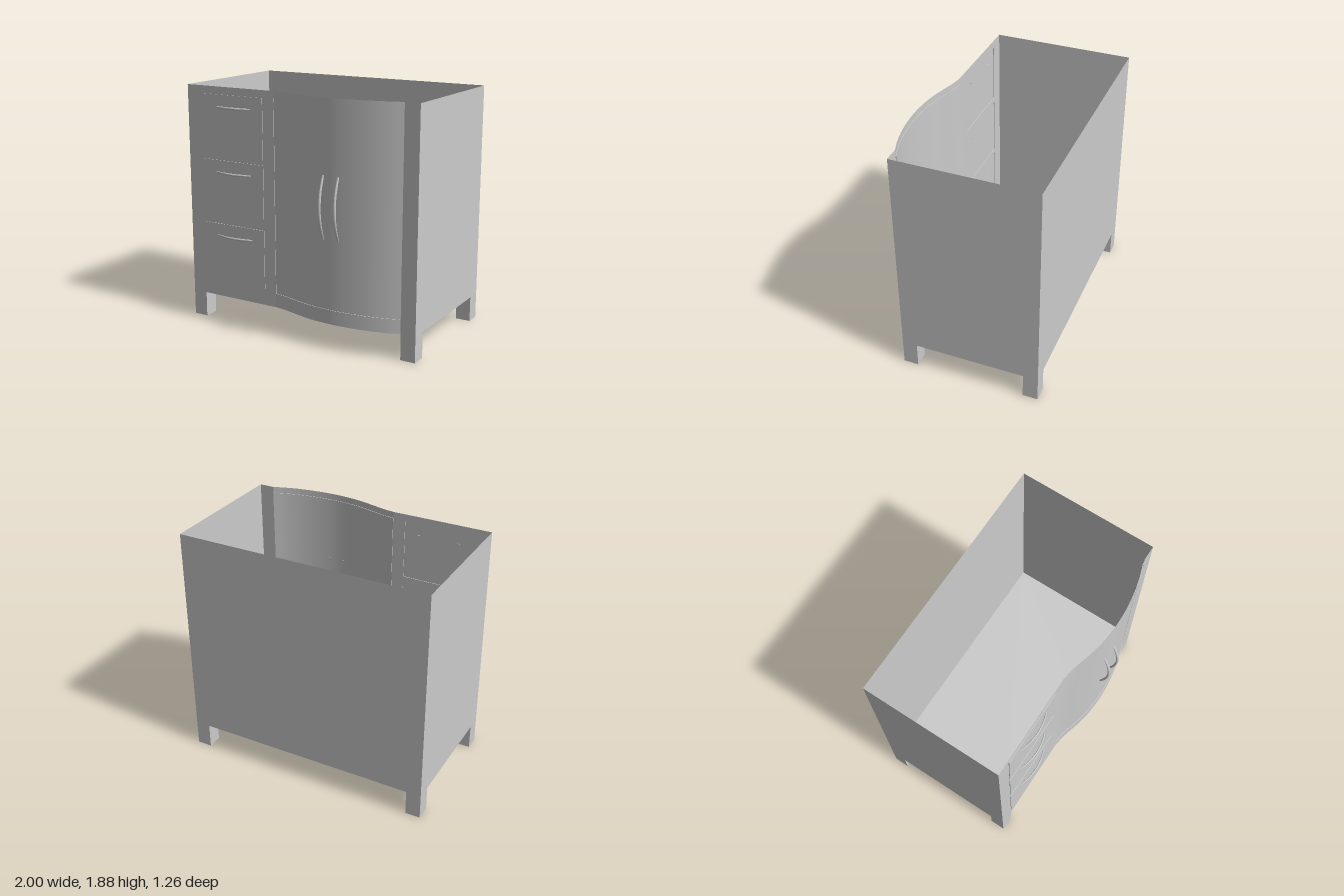
import * as THREE from 'three';

const BASE = 0.2, TOP = 1.88, BACK = -0.63, FRONT = 0.475;
const DOOR_LOW = 0.31, DOOR_HIGH = 1.83, INSET = 0.005;
const material = new THREE.MeshStandardMaterial({ color: 0xcccccc, side: THREE.DoubleSide });

function mesh(name, geometry, parent) {
  const m = new THREE.Mesh(geometry, material);
  m.name = name;
  parent.add(m);
  return m;
}

// Sheet spanning two rows of points; it faces front when rows run left to right, lower row first
function sheet(lower, upper) {
  const n = lower.length, index = [];
  for (let i = 0; i < n - 1; i++) index.push(i, i + 1, n + i, i + 1, n + i + 1, n + i);
  const g = new THREE.BufferGeometry().setFromPoints([...lower, ...upper]);
  g.setIndex(index);
  g.computeVertexNormals();
  return g;
}

// Row of floor-plan points lifted to height y and pushed back in z
const row = (plan, y, back = 0) => plan.map((p) => new THREE.Vector3(p.x, y, p.y - back));
const plan = (...pairs) => pairs.map(([x, z]) => new THREE.Vector2(x, z));

// Box with one face left out (0 +x, 1 -x, 2 +y, 3 -y, 4 +z, 5 -z)
function openBox(w, h, d, face) {
  const g = new THREE.BoxGeometry(w, h, d);
  const index = Array.from(g.index.array);
  index.splice(face * 6, 6);
  g.setIndex(index);
  g.clearGroups();
  return g;
}

// Upright bow handle, tapered to both ends and arched towards +z
function bowHandle(length, width, depth, rise) {
  const g = new THREE.CylinderGeometry(1, 1, 2, 12, 20);
  const p = g.attributes.position;
  for (let i = 0; i < p.count; i++) {
    const t = p.getY(i);
    const arch = 1 - t * t;
    const taper = 0.45 + 0.55 * Math.sqrt(Math.max(0, arch));
    p.setXYZ(i, p.getX(i) * taper * width / 2, t * length / 2, p.getZ(i) * taper * depth / 2 + rise * arch);
  }
  g.computeVertexNormals();
  return g;
}

export function createModel() {
  const cabinet = new THREE.Group();
  cabinet.name = 'cabinet';

  // Bowed part of the front, seen in plan
  const bow = new THREE.SplineCurve(plan([-0.2, FRONT], [-0.1, 0.491], [0, 0.518], [0.1, 0.543], [0.2, 0.56],
    [0.35, 0.57], [0.5, 0.563], [0.65, 0.542], [0.78, 0.51], [0.88, FRONT])).getPoints(48);

  // Carcass walls, open at the top
  const wall = (name, path) => mesh(name, sheet(row(path, BASE), row(path, TOP)), cabinet);
  wall('leftSide', plan([1, FRONT], [1, BACK]));
  wall('back', plan([1, BACK], [-1, BACK]));
  wall('rightSide', plan([-1, BACK], [-1, FRONT]));
  wall('frontStile', plan([0.88, FRONT], [1, FRONT]));

  // Floor panel following the bow
  const floor = new THREE.Shape([...plan([-1, BACK], [-1, FRONT]), ...bow, ...plan([1, FRONT], [1, BACK])]);
  mesh('floor', new THREE.ShapeGeometry(floor).rotateX(Math.PI / 2), cabinet).position.y = BASE;

  // Flat front frame with three drawer openings
  const frame = new THREE.Shape(plan([-1, BASE], [-0.2, BASE], [-0.2, TOP], [-1, TOP]));
  const drawerW = 0.58, drawerH = 0.47, drawerX = -0.59;
  const drawerYs = [0.565, 1.075, 1.585];
  for (const y of drawerYs) {
    const x0 = drawerX - drawerW / 2, x1 = drawerX + drawerW / 2;
    const y0 = y - drawerH / 2, y1 = y + drawerH / 2;
    frame.holes.push(new THREE.Path(plan([x0, y0], [x0, y1], [x1, y1], [x1, y0])));
  }
  mesh('drawerFrame', new THREE.ShapeGeometry(frame), cabinet).position.z = FRONT;

  // Drawer fronts, slightly proud, with horizontal handles
  const drawerHandle = bowHandle(0.34, 0.02, 0.012, 0.036).rotateZ(Math.PI / 2);
  for (const y of drawerYs) {
    const drawer = new THREE.Group();
    drawer.name = 'drawer';
    drawer.position.set(drawerX, y, FRONT);
    cabinet.add(drawer);
    mesh('drawerFront', openBox(drawerW, drawerH, INSET, 5), drawer).position.z = INSET / 2;
    mesh('drawerHandle', drawerHandle, drawer).position.set(0.01, 0.14, 0.002);
  }

  // Bowed rails above and below the slightly recessed doors
  mesh('bottomRail', sheet(row(bow, BASE), row(bow, DOOR_LOW)), cabinet);
  mesh('topRail', sheet(row(bow, DOOR_HIGH), row(bow, TOP)), cabinet);
  mesh('doors', sheet(row(bow, DOOR_LOW, INSET), row(bow, DOOR_HIGH, INSET)), cabinet);

  // Reveals round the doors
  mesh('bottomReveal', sheet(row(bow, DOOR_LOW), row(bow, DOOR_LOW, INSET)), cabinet);
  mesh('topReveal', sheet(row(bow, DOOR_HIGH, INSET), row(bow, DOOR_HIGH)), cabinet);
  for (const x of [-0.2, 0.88]) {
    const edge = plan([x, FRONT], [x, FRONT - INSET]);
    mesh('sideReveal', sheet(row(edge, DOOR_LOW), row(edge, DOOR_HIGH)), cabinet);
  }

  // Upright door handles
  const doorHandle = bowHandle(0.48, 0.025, 0.02, 0.058);
  for (const x of [0.283, 0.409]) mesh('doorHandle', doorHandle, cabinet).position.set(x, 1.08, 0.562);

  // Square corner legs, flush with the walls
  const leg = 0.118;
  for (const sx of [-1, 1]) {
    for (const z of [FRONT - leg / 2, BACK + leg / 2]) {
      mesh('leg', openBox(leg, BASE, leg, 2), cabinet).position.set(sx * (1 - leg / 2), BASE / 2, z);
    }
  }
  return cabinet;
}
